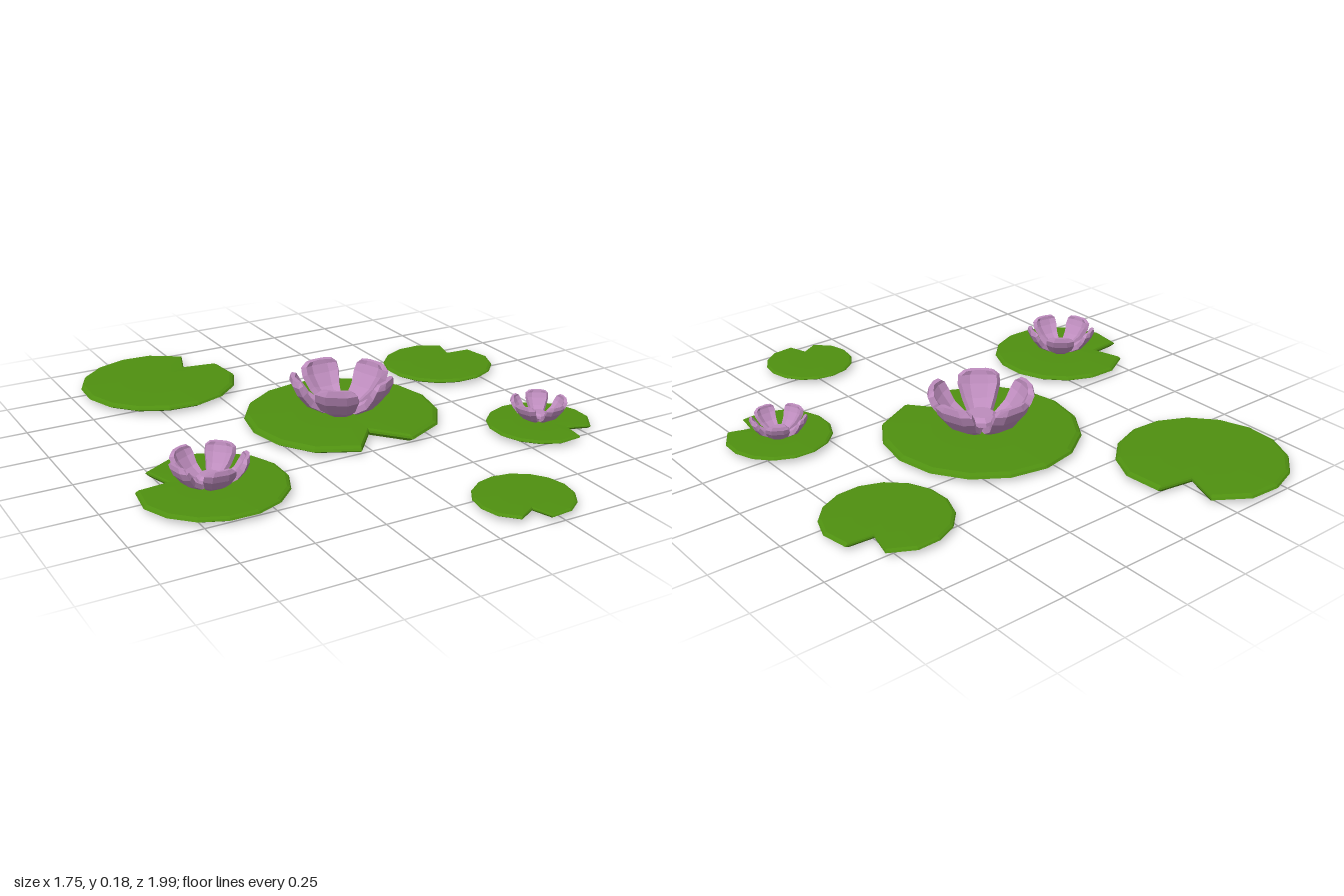
import * as THREE from 'three';

const padGreen = new THREE.MeshStandardMaterial({ color: 0x4f9010 });
padGreen.name = 'pad green';
const petalPink = new THREE.MeshStandardMaterial({ color: 0xbd8cbd });
petalPink.name = 'petal pink';

// Faceted solid through equal-length closed rings, capped at both ends.
// Ring order runs counter-clockwise seen from the last ring's side.
function loft(rings) {
  const pos = [];
  const tri = (a, b, c) => pos.push(...a, ...b, ...c);
  const n = rings[0].length;
  for (let j = 0; j < rings.length - 1; j++) {
    for (let i = 0; i < n; i++) {
      const k = (i + 1) % n;
      const a = rings[j][i], b = rings[j][k], c = rings[j + 1][k], d = rings[j + 1][i];
      tri(a, b, c);
      tri(a, c, d);
    }
  }
  const mean = (ring) => [0, 1, 2].map((ax) => ring.reduce((s, p) => s + p[ax], 0) / n);
  const first = rings[0], last = rings[rings.length - 1];
  const m0 = mean(first), m1 = mean(last);
  for (let i = 0; i < n; i++) {
    const k = (i + 1) % n;
    tri(m0, first[k], first[i]);
    tri(m1, last[i], last[k]);
  }
  const geo = new THREE.BufferGeometry();
  geo.setAttribute('position', new THREE.Float32BufferAttribute(pos, 3));
  geo.computeVertexNormals();
  return geo;
}

// Unit-radius pad: sixteen corners, the one at +z pulled in to make the notch
function padGeometry() {
  const outline = [[0, 0.555]];
  for (let i = 1; i < 16; i++) {
    const edge = i === 1 ? -0.08 : i === 15 ? 0.08 : 0;
    outline.push([i * Math.PI / 8 + edge, edge ? 0.955 : 1]);
  }
  const levels = [[0.4, -0.052], [0.94, -0.036], [1, -0.004], [0.985, 0.018], [0.945, 0.036], [0.5, 0.042]];
  return loft(levels.map(([s, y]) =>
    outline.map(([a, r]) => [Math.sin(a) * r * s, y, Math.cos(a) * r * s])));
}

// Thick cupped petal growing towards +z and curling up
function petalGeometry() {
  const stations = [ // distance out, height, half width, thickness
    [0.03, 0.0, 0.028, 0.014],
    [0.075, 0.004, 0.043, 0.02],
    [0.135, 0.038, 0.063, 0.022],
    [0.172, 0.085, 0.078, 0.022],
    [0.188, 0.122, 0.076, 0.02],
    [0.186, 0.145, 0.054, 0.014],
  ];
  const across = [-1, -0.5, 0.5, 1];
  const rings = stations.map(([z, y, w, t], j) => {
    const p = stations[Math.max(j - 1, 0)], q = stations[Math.min(j + 1, stations.length - 1)];
    const dz = q[0] - p[0], dy = q[1] - p[1], len = Math.hypot(dz, dy);
    const nz = -dy / len, ny = dz / len;
    const point = (u, k, lift) => {
      const h = lift + (Math.abs(u) === 1 ? 0.2 * w : 0);
      return [u * w * k, y + ny * h, z + nz * h];
    };
    return [
      ...across.map((u) => point(u, 1, 0)),
      ...[...across].reverse().map((u) => point(u, 0.84, t)),
    ];
  });
  return loft(rings);
}

// Low eight-sided button in the middle of the flower
function heartGeometry() {
  const levels = [[0.05, 0], [0.066, 0.025], [0.064, 0.042], [0.046, 0.056]];
  return loft(levels.map(([r, y]) => Array.from({ length: 8 }, (_, i) => {
    const a = (i + 0.5) * Math.PI / 4;
    return [Math.sin(a) * r, y, Math.cos(a) * r];
  })));
}

export function createModel() {
  const model = new THREE.Group();
  model.name = 'lilyPads';
  const padGeo = padGeometry(), petalGeo = petalGeometry(), heartGeo = heartGeometry();
  const level = 0.02;

  // Pads: x, z, radius, notch direction in degrees from +z
  const pads = [
    ['centrePad', 0.052, -0.06, 0.36, 0],
    ['backRightPad', -0.41, -0.7, 0.3, 120.6],
    ['backLeftPad', 0.66, -0.34, 0.22, 125.6],
    ['rightPad', -0.62, 0.268, 0.26, -124.3],
    ['leftPad', 0.635, 0.365, 0.193, 31.5],
    ['frontPad', 0.215, 0.83, 0.17, -20.8],
  ];
  for (const [name, x, z, r, deg] of pads) {
    const pad = new THREE.Mesh(padGeo, padGreen);
    pad.name = name;
    pad.position.set(x, level, z);
    pad.scale.setScalar(r);
    pad.rotation.y = THREE.MathUtils.degToRad(deg);
    model.add(pad);
  }

  // Flowers: x, z, base height, scale, direction of the first petal
  const flowers = [
    ['centreFlower', 0.052, -0.06, 0.034, 1, 180],
    ['rightFlower', -0.63, 0.275, 0.03, 0.7, -7],
    ['leftFlower', 0.64, 0.35, 0.027, 0.54, 3],
  ];
  for (const [name, x, z, y, s, deg] of flowers) {
    const flower = new THREE.Group();
    flower.name = name;
    for (let i = 0; i < 5; i++) {
      const petal = new THREE.Mesh(petalGeo, petalPink);
      petal.name = 'petal';
      petal.rotation.y = i * Math.PI * 2 / 5;
      flower.add(petal);
    }
    const heart = new THREE.Mesh(heartGeo, petalPink);
    heart.name = 'flowerHeart';
    flower.add(heart);
    flower.position.set(x, y, z);
    flower.scale.setScalar(s);
    flower.rotation.y = THREE.MathUtils.degToRad(deg);
    model.add(flower);
  }
  return model;
}
